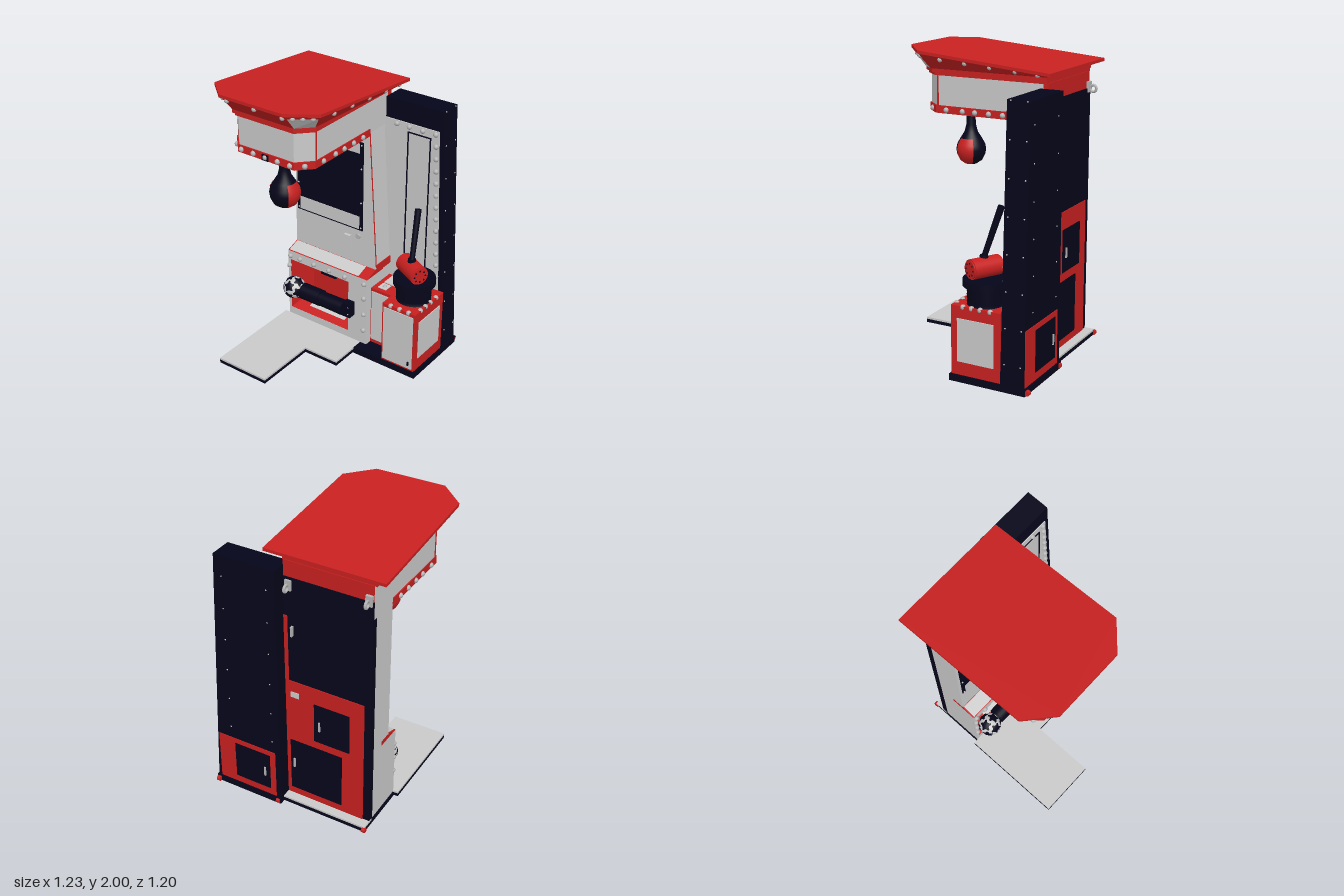
import * as THREE from 'three';

const mat = (name, color) => {
  const m = new THREE.MeshStandardMaterial({ color });
  m.name = name;
  return m;
};

export function createModel() {
  const root = new THREE.Group();
  root.name = 'punchAndHammerMachine';
  const white = mat('panel white', 0xcacaca);
  const red = mat('cabinet red', 0xc82020);
  const navy = mat('dark navy', 0x05051a);
  const steel = mat('bolt steel', 0xb4b4b4);

  const add = (name, geo, m, x = 0, y = 0, z = 0) => {
    const mesh = new THREE.Mesh(geo, m);
    mesh.name = name;
    mesh.position.set(x, y, z);
    root.add(mesh);
    return mesh;
  };
  // Box given by its limits
  const box = (name, m, x0, x1, y0, y1, z0, z1) =>
    add(name, new THREE.BoxGeometry(x1 - x0, y1 - y0, z1 - z0), m, (x0 + x1) / 2, (y0 + y1) / 2, (z0 + z1) / 2);
  const shapeOf = (pts) => new THREE.Shape(pts.map((p) => new THREE.Vector2(p[0], p[1])));
  const extrude = (shape, depth) => new THREE.ExtrudeGeometry(shape, { depth, bevelEnabled: false });
  // Front-view outline pushed from z0 to z1
  const front = (name, m, pts, z0, z1, hole) => {
    const s = shapeOf(pts);
    if (hole) s.holes.push(new THREE.Path(hole.map((p) => new THREE.Vector2(p[0], p[1]))));
    return add(name, extrude(s, z1 - z0), m, 0, 0, z0);
  };
  const rect = (x0, x1, y0, y1) => [[x0, y0], [x1, y0], [x1, y1], [x0, y1]];
  // Plan outline (x, z) with cut front corners, pushed upward
  const outline = (xl, xr, zb, zf, cx, cz) =>
    [[xl, zb], [xl, zf - cz], [xl + cx, zf], [xr - cx, zf], [xr, zf - cz], [xr, zb]];
  const planGeo = (pts, h) => extrude(shapeOf(pts.map(([x, z]) => [x, -z])), h).rotateX(-Math.PI / 2);
  const plan = (name, m, pts, y0, y1) => add(name, planGeo(pts, y1 - y0), m, 0, y0, 0);
  // Flat four-cornered face, counter-clockwise from outside
  const quad = (name, m, a, b, c, d) => {
    const g = new THREE.BufferGeometry();
    g.setAttribute('position', new THREE.Float32BufferAttribute([a, b, c, a, c, d].flat(), 3));
    g.computeVertexNormals();
    return add(name, g, m);
  };
  const boltGeo = new THREE.SphereGeometry(0.018, 12, 8);
  const bolt = (x, y, z, s = 1) => add('bolt', boltGeo, steel, x, y, z).scale.setScalar(s);

  // Floor plates
  const floor = (x0, x1, z0, z1) => {
    box('floorPlateBase', navy, x0, x1, 0.008, 0.032, z0, z1);
    box('floorPlateTop', white, x0, x1, 0.032, 0.046, z0, z1);
  };
  floor(-0.545, -0.15, -0.12, 0.6);
  floor(-0.15, 0.115, -0.12, 0.16);
  box('cabinetBase', navy, -0.515, 0.1, 0.005, 0.032, -0.53, -0.12);
  box('cabinetBaseTrim', white, -0.515, 0.1, 0.032, 0.045, -0.53, -0.43);
  box('towerBase', navy, 0.1, 0.61, 0, 0.045, -0.57, -0.04);

  // Main column, wider toward the bottom on one side
  const slantX = (y) => 0.165 - (y - 0.6) * 0.07;
  front('column', white, [[-0.51, 0.58], [0.165, 0.58], [slantX(1.6), 1.6], [0.095, 1.83], [-0.51, 1.83]], -0.42, -0.22);
  box('columnLower', white, -0.51, 0.165, 0.04, 0.58, -0.42, -0.31);
  quad('columnEdgeStrip', red, [slantX(0.62) + 0.002, 0.62, -0.22], [slantX(0.62) + 0.002, 0.62, -0.232],
    [slantX(1.6) + 0.002, 1.6, -0.232], [slantX(1.6) + 0.002, 1.6, -0.22]);
  box('columnSideBand', red, 0.15, 0.168, 0.58, 0.635, -0.4, -0.23);
  box('backCabinet', navy, -0.512, 0.1, 0.045, 1.72, -0.462, -0.42);
  box('backTopRail', red, -0.51, 0.1, 1.72, 1.83, -0.455, -0.42);
  box('backLowerPanel', red, -0.465, 0.1, 0.045, 0.97, -0.468, -0.46);
  box('backSideStrip', red, 0.075, 0.1, 0.97, 1.45, -0.468, -0.46);
  box('upperBackDoor', navy, -0.365, -0.11, 0.56, 0.85, -0.474, -0.467);
  box('lowerBackDoor', navy, -0.31, 0.07, 0.1, 0.5, -0.474, -0.467);
  box('ratingPlate', white, 0.0, 0.06, 0.85, 0.89, -0.473, -0.467);
  for (const [x, y] of [[-0.15, 0.69], [0.04, 0.32], [0.04, 1.35]]) box('doorHandle', steel, x - 0.006, x + 0.006, y - 0.035, y + 0.035, -0.483, -0.46);
  for (const [x, y] of [[0.06, 1.67], [-0.485, 1.73]]) {
    box('hookPlate', steel, x - 0.022, x + 0.022, y - 0.035, y + 0.035, -0.475, -0.45);
    add('transportHook', new THREE.TorusGeometry(0.022, 0.009, 8, 16).rotateY(Math.PI / 2), steel, x, y - 0.01, -0.495);
  }

  // Display window with two light bars
  box('window', navy, -0.49, 0.055, 0.87, 1.52, -0.22, -0.213);
  box('lowerBar', white, -0.465, 0.03, 0.88, 0.975, -0.213, -0.21);
  box('upperBar', white, -0.465, 0.03, 1.44, 1.512, -0.213, -0.21);
  for (const x of [-0.478, 0.043]) for (const y of [0.89, 1.08, 1.33, 1.5]) bolt(x, y, -0.212, 0.35);
  box('coinSlot', white, -0.088, -0.039, 0.702, 0.808, -0.22, -0.2);
  add('lock', new THREE.CylinderGeometry(0.018, 0.018, 0.015, 16).rotateX(Math.PI / 2), steel, 0.02, 0.82, -0.215);

  // Lower front housing with a tapered recess
  const mouth = rect(-0.49, 0.01, 0.1, 0.5), rear = rect(-0.425, 0.008, 0.18, 0.485);
  front('frontHousing', white, rect(-0.51, 0.165, 0.04, 0.57), -0.31, -0.12, mouth);
  for (let i = 0; i < 4; i++) {
    const j = (i + 1) % 4;
    quad('recessWall', red, [...mouth[i], -0.121], [...mouth[j], -0.121], [...rear[j], -0.3], [...rear[i], -0.3]);
  }
  box('recessBack', red, -0.45, 0.01, 0.15, 0.5, -0.308, -0.3);
  const floorAt = (y) => -0.121 - (y - 0.1) / 0.08 * 0.179;
  quad('recessFloorPlate', white, [-0.37, 0.126, floorAt(0.123)], [-0.06, 0.126, floorAt(0.123)],
    [-0.05, 0.179, floorAt(0.176)], [-0.34, 0.179, floorAt(0.176)]);
  box('recessSlot', navy, -0.34, -0.21, 0.36, 0.4, -0.3, -0.27);
  // Sloping red ledge with a white top plate
  add('ledge', extrude(shapeOf([[0.12, 0.57], [0.31, 0.57], [0.31, 0.605], [0.22, 0.605]]), 0.675).rotateY(Math.PI / 2), red, -0.51, 0, 0);
  quad('ledgePlate', white, [-0.503, 0.575, -0.124], [0.09, 0.575, -0.124], [0.09, 0.606, -0.216], [-0.503, 0.606, -0.216]);
  for (const x of [-0.49, -0.405, -0.285, -0.155, -0.02, 0.14]) bolt(x, 0.53, -0.118);
  for (const y of [0.415, 0.285, 0.155]) bolt(0.14, y, -0.118);
  for (const y of [0.45, 0.335, 0.22]) bolt(-0.5, y, -0.118);

  // Kicking ball on a padded arm
  add('ball', new THREE.SphereGeometry(0.078, 32, 20), white, -0.42, 0.318, -0.07);
  const t = (1 + Math.sqrt(5)) / 2, up = new THREE.Vector3(0, 1, 0);
  const patchGeo = new THREE.SphereGeometry(0.08, 5, 5, 0, Math.PI * 2, 0, 0.54);
  for (const a of [-1, 1]) for (const b of [-t, t]) for (const v of [[0, a, b], [a, b, 0], [b, 0, a]]) {
    add('ballPatch', patchGeo, navy, -0.42, 0.318, -0.07).quaternion.setFromUnitVectors(up, new THREE.Vector3(...v).normalize());
  }
  add('arm', new THREE.CylinderGeometry(0.05, 0.055, 0.36, 24).rotateZ(Math.PI / 2), navy, -0.17, 0.313, -0.075);
  add('armCollar', new THREE.CylinderGeometry(0.058, 0.058, 0.16, 24).rotateZ(Math.PI / 2), navy, -0.265, 0.315, -0.075);
  box('armBracket', navy, 0, 0.065, 0.255, 0.36, -0.12, -0.06);
  for (const y of [0.28, 0.335]) bolt(0.05, y, -0.062, 0.3);

  // Overhanging head
  plan('head', white, outline(-0.512, 0.095, -0.45, 0.435, 0.09, 0.095), 1.6, 1.83);
  plan('headLowerBand', red, outline(-0.518, 0.101, -0.222, 0.443, 0.09, 0.095), 1.58, 1.63);
  const rim = outline(-0.54, 0.12, -0.45, 0.462, 0.095, 0.1);
  plan('headUpperBand', red, outline(-0.525, 0.108, -0.45, 0.448, 0.092, 0.098), 1.825, 1.85);
  plan('headRim', red, rim, 1.845, 1.87);
  for (const x of [-0.4, -0.305, -0.21, -0.115, -0.02]) bolt(x, 1.603, 0.443);
  for (const s of [-1, 1]) {
    box('headEdgeTrim', red, s * 0.3035 - 0.2085 - 0.003, s * 0.3035 - 0.2085 + 0.003, 1.63, 1.825, 0.328, 0.339);
    bolt(-0.2085 + s * 0.265, 1.603, 0.396);
    for (const z of [0.27, 0.15, 0.06, -0.04, -0.14]) bolt(-0.2085 + s * 0.309, 1.603, z);
  }

  // Sloping roof with flared skirt
  const roofY = (z) => 2 - (0.57 - z) * 0.088;
  const eaves = outline(-0.615, 0.2, -0.513, 0.57, 0.167, 0.15);
  const roofGeo = planGeo(eaves, 0.02), pos = roofGeo.attributes.position;
  for (let i = 0; i < pos.count; i++) pos.setY(i, pos.getY(i) - 0.02 + roofY(pos.getZ(i)));
  roofGeo.computeVertexNormals();
  add('roof', roofGeo, red);
  const mix = (a, b, k) => a.map((v, i) => v + (b[i] - v) * k);
  const top = eaves.map(([x, z]) => [x * 0.98, roofY(z) - 0.018, z * 0.98]);
  const low = rim.map(([x, z]) => [x, 1.868, z]);
  for (let i = 0; i < 6; i++) {
    const j = (i + 1) % 6;
    quad('roofSkirt', red, low[i], low[j], top[j], top[i]);
    if (i === 1 || i === 3) {
      const p = [[0.05, 0.03], [0.95, 0.03], [0.95, 0.82], [0.05, 0.82]].map(([u, v]) => {
        const q = mix(mix(low[i], low[j], u), mix(top[i], top[j], u), v);
        return [q[0] + (i === 1 ? -0.003 : 0.003), q[1] - 0.003, q[2] + 0.003];
      });
      quad('skirtPanel', white, ...p);
    }
    if (i < 5) for (const u of i % 2 ? [0.2, 0.5, 0.8] : i === 2 ? [0.05, 0.5, 0.95] : [0.15, 0.35, 0.55, 0.75, 0.92])
      bolt(...mix(mix(low[i], low[j], u), mix(top[i], top[j], u), 0.76), 0.9);
  }

  // Punching bag
  const bagProfile = [[0, 1.188], [0.04, 1.195], [0.075, 1.22], [0.095, 1.26], [0.1, 1.295], [0.093, 1.33], [0.07, 1.37],
    [0.045, 1.41], [0.032, 1.46], [0.027, 1.58]].map((p) => new THREE.Vector2(...p));
  add('bag', new THREE.LatheGeometry(bagProfile, 36), navy, -0.21, 0, 0.265);
  const lune = bagProfile.slice(1, 7).map((p) => new THREE.Vector2(p.x + 0.003, p.y));
  for (const a of [Math.PI / 2, -Math.PI / 2]) add('bagPanel', new THREE.LatheGeometry(lune, 12, a - 0.66, 1.32), red, -0.21, 0, 0.265);
  box('bagMount', navy, -0.235, -0.185, 1.565, 1.585, 0.24, 0.29);
  box('bandPlate', navy, -0.235, -0.185, 1.582, 1.622, 0.44, 0.449);

  // Score tower
  front('tower', navy, [[0.1, 0.04], [0.608, 0.04], [0.53, 1.795], [0.1, 1.795]], -0.555, -0.4);
  front('towerFront', white, [[0.1, 0.045], [0.572, 0.045], [0.505, 1.655], [0.1, 1.655]], -0.4, -0.392);
  front('scoreOutline', navy, rect(0.275, 0.45, 0.595, 1.6), -0.392, -0.387, rect(0.283, 0.442, 0.603, 1.592));
  for (const x of [0.19, 0.285, 0.385, 0.482]) bolt(x, 1.632, -0.392);
  for (let i = 0; i < 12; i++) bolt(0.488 + i * 0.0042, 1.55 - i * 0.086, -0.392);
  for (let i = 0; i < 8; i++) for (const z of [-0.425, -0.535]) bolt(0.608 - (0.14 + i * 0.23) * 0.0444, 0.18 + i * 0.23, z, 0.3);
  for (let i = 0; i < 6; i++) for (const x of [0.16, 0.48]) bolt(x, 0.5 + i * 0.23, -0.554, 0.3);
  box('towerBackPanel', red, 0.14, 0.58, 0.045, 0.41, -0.56, -0.554);
  box('towerBackDoor', navy, 0.18, 0.45, 0.1, 0.375, -0.565, -0.559);
  box('towerDoorHandle', steel, 0.21, 0.222, 0.2, 0.27, -0.573, -0.56);
  for (const [x, z] of [[0.59, -0.58], [0.12, -0.565], [-0.51, -0.53]])
    add('caster', new THREE.CylinderGeometry(0.018, 0.018, 0.025, 16).rotateZ(Math.PI / 2), red, x, 0.022, z);

  // Hammer pedestal and side console
  box('pedestal', red, 0.34, 0.598, 0.045, 0.5, -0.395, -0.05);
  box('pedestalFrontPanel', white, 0.352, 0.585, 0.06, 0.475, -0.05, -0.044);
  box('pedestalSidePanel', white, 0.598, 0.604, 0.135, 0.42, -0.35, -0.095);
  box('pedestalLock', navy, 0.553, 0.565, 0.09, 0.115, -0.045, -0.035);
  for (const x of [0.4, 0.47, 0.54]) bolt(x, 0.492, -0.06);
  for (const z of [-0.13, -0.19, -0.25, -0.32]) bolt(0.586, 0.492, z);
  box('console', red, 0.165, 0.34, 0.045, 0.487, -0.395, -0.17);
  box('consolePanel', white, 0.173, 0.332, 0.075, 0.465, -0.17, -0.164);
  box('consoleTopPlate', white, 0.2, 0.335, 0.487, 0.493, -0.385, -0.275);
  box('buttonPlate', white, 0.2, 0.265, 0.487, 0.492, -0.265, -0.2);
  bolt(0.235, 0.488, -0.232, 0.9);

  // Ribbed bellows and strike pad
  const ribs = [];
  for (let i = 0; i <= 12; i++) ribs.push(new THREE.Vector2(i % 2 ? 0.095 : 0.118, 0.5 + i * 0.0105));
  add('bellows', new THREE.LatheGeometry(ribs, 32), navy, 0.47, 0, -0.225);
  add('strikePad', new THREE.CylinderGeometry(0.142, 0.142, 0.045, 40), navy, 0.472, 0.642, -0.225);

  // Hammer lying on the pad
  const hammer = new THREE.Group();
  hammer.name = 'hammerHead';
  hammer.position.set(0.458, 0.728, -0.21);
  hammer.rotation.y = -0.49;
  root.add(hammer);
  const part = (name, geo, m, x) => {
    const p = add(name, geo.rotateZ(Math.PI / 2), m, x);
    hammer.add(p);
    return p;
  };
  part('head', new THREE.CylinderGeometry(0.064, 0.064, 0.2, 32), red, 0);
  for (const s of [-1, 1]) {
    part('headCap', new THREE.CylinderGeometry(0.058, 0.058, 0.012, 32), red, s * 0.102);
    for (let i = 0; i < 8; i++) {
      const d = part('capDot', new THREE.CylinderGeometry(0.006, 0.006, 0.004, 8), navy, s * 0.108);
      d.position.y = Math.cos(i * Math.PI / 4) * 0.04;
      d.position.z = Math.sin(i * Math.PI / 4) * 0.04;
    }
  }
  const foot = new THREE.Vector3(0.463, 0.74, -0.19), tip = new THREE.Vector3(0.427, 1.12, -0.31);
  const handle = add('hammerHandle', new THREE.CylinderGeometry(0.022, 0.017, foot.distanceTo(tip), 16), navy);
  handle.position.copy(foot).lerp(tip, 0.5);
  handle.quaternion.setFromUnitVectors(up, tip.clone().sub(foot).normalize());
  add('handleCollar', new THREE.CylinderGeometry(0.026, 0.028, 0.03, 16), navy, 0.458, 0.79, -0.206);

  return root;
}
